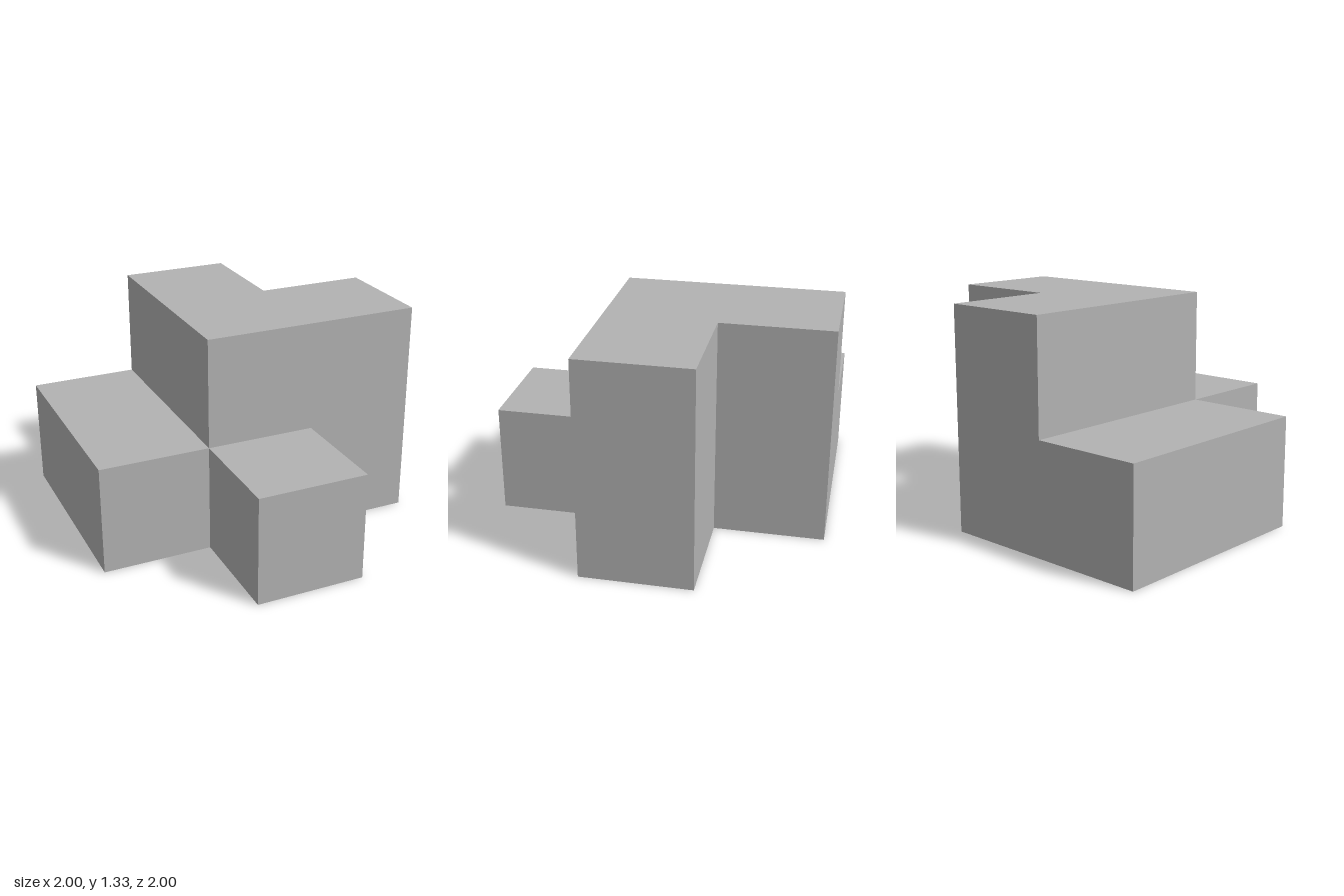
import * as THREE from 'three';
import { mergeGeometries } from 'three/addons/utils/BufferGeometryUtils.js';

const U = 2 / 3; // edge of one cube cell

// Height of each cell in cubes: rows run back to front, columns -x to +x
const HEIGHTS = [
  [1, 2, 0],
  [1, 2, 2],
  [0, 1, 0],
];

// The cells [row, column] that make up each part
const PARTS = {
  lowSideBlock: [[0, 0], [1, 0]],
  tallCornerBlock: [[0, 1], [1, 1], [1, 2]],
  lowFrontBlock: [[2, 1]],
};

const heightAt = (row, col) => HEIGHTS[row]?.[col] ?? 0;

// Top and exposed side panels of one cell; the underside stays open
function cellPanels(row, col) {
  const h = heightAt(row, col);
  const x = (col - 1) * U;
  const z = (row - 1) * U;
  const panels = [new THREE.PlaneGeometry(U, U).rotateX(-Math.PI / 2).translate(x, h * U, z)];
  for (const [dx, dz] of [[0, 1], [1, 0], [0, -1], [-1, 0]]) {
    const n = heightAt(row + dz, col + dx);
    if (n >= h) continue;
    panels.push(
      new THREE.PlaneGeometry(U, (h - n) * U)
        .rotateY(Math.atan2(dx, dz))
        .translate(x + dx * U / 2, (h + n) * U / 2, z + dz * U / 2)
    );
  }
  return panels;
}

export function createModel() {
  const group = new THREE.Group();
  group.name = 'cubePuzzleShell';
  const grey = new THREE.MeshStandardMaterial({ color: 0xb2b2b2, side: THREE.DoubleSide });
  grey.name = 'lightGrey';

  for (const [name, cells] of Object.entries(PARTS)) {
    const panels = cells.flatMap(([row, col]) => cellPanels(row, col));
    const mesh = new THREE.Mesh(mergeGeometries(panels), grey);
    mesh.name = name;
    group.add(mesh);
  }
  return group;
}
